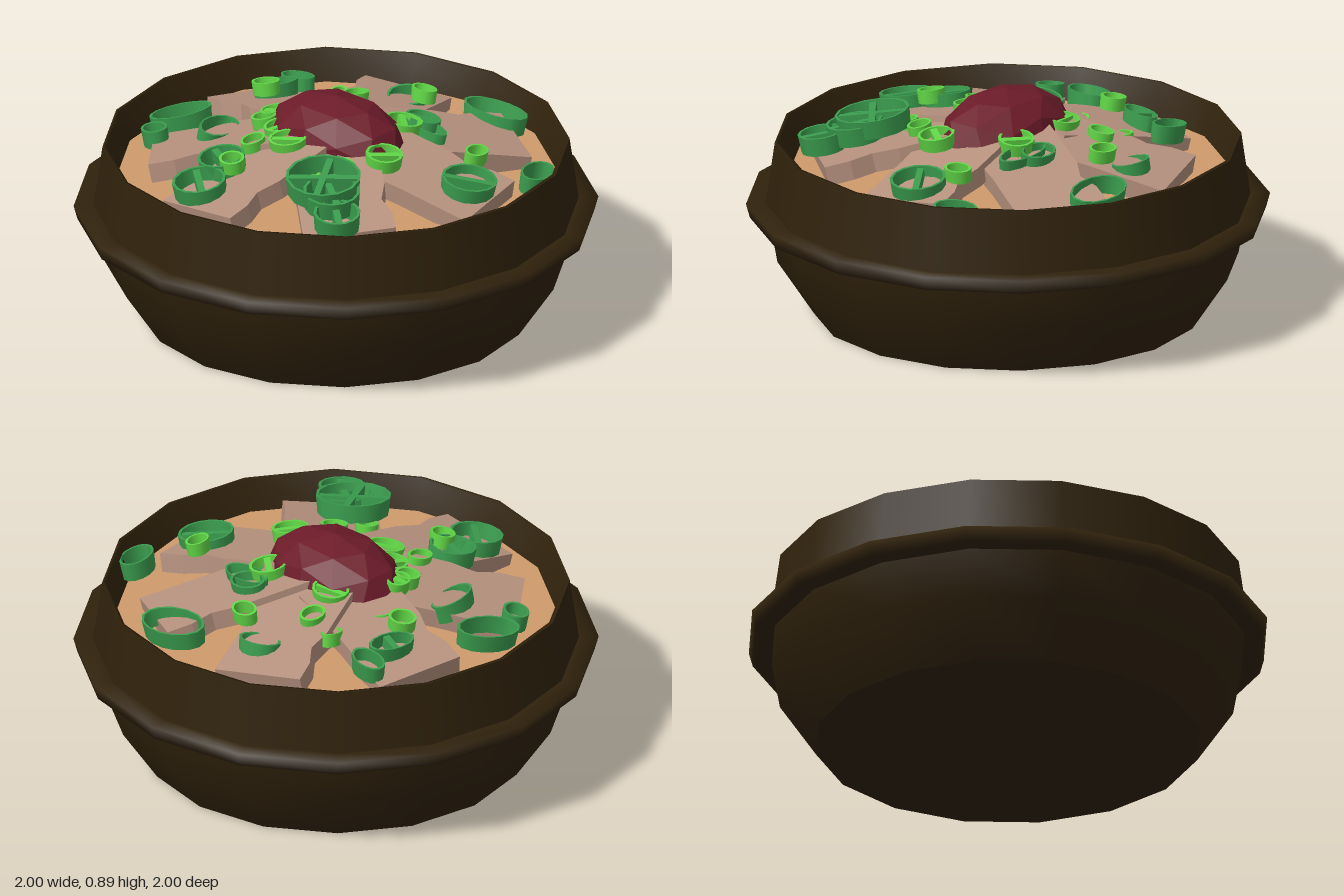
import * as THREE from 'three';
import { mergeGeometries } from 'three/addons/utils/BufferGeometryUtils.js';

const mat = (name, color, extra = {}) => {
  const m = new THREE.MeshStandardMaterial({ color, ...extra });
  m.name = name;
  return m;
};

// Lathe built from sections: smooth inside a section, sharp between sections
function sectionLathe(sections, sides) {
  return mergeGeometries(sections.map((points) =>
    new THREE.LatheGeometry(points.map(([x, y]) => new THREE.Vector2(x, y)), sides)));
}

export function createModel() {
  const model = new THREE.Group();
  const clay = mat('dark clay', 0x30220c);
  const broth = mat('broth', 0xd09a6c);
  const meat = mat('meat', 0xb6917e, { flatShading: true });
  const paste = mat('red paste', 0x6c1b29, { flatShading: true });
  const lightGreen = mat('light green', 0x60d646);
  const darkGreen = mat('dark green', 0x3a9c4e);

  const add = (parent, name, geometry, material) => {
    const mesh = new THREE.Mesh(geometry, material);
    mesh.name = name;
    parent.add(mesh);
    return mesh;
  };

  // Bowl with a protruding band and an inner wall
  add(model, 'bowl', sectionLathe([
    [[0, 0], [0.74, 0]],
    [[0.74, 0], [0.88, 0.21], [0.912, 0.39]],
    [[0.912, 0.39], [0.985, 0.39], [1, 0.445], [0.925, 0.445]],
    [[0.925, 0.445], [0.89, 0.69]],
    [[0.89, 0.69], [0.875, 0.69], [0.828, 0.55]],
  ], 16), clay);

  // Soup surface
  const soup = add(model, 'soup', new THREE.CircleGeometry(0.835, 16), broth);
  soup.rotation.x = -Math.PI / 2;
  soup.position.y = 0.57;

  // Meat slices: one wavy slab, fanned around the middle and sloping outward
  const outline = [
    [-0.175, 0], [0.18, 0], [0.18, 0.1], [0.15, 0.19], [0.175, 0.29],
    [0.18, 0.6], [-0.175, 0.6], [-0.165, 0.3],
  ].map(([x, y]) => new THREE.Vector2(x, y));
  const slab = new THREE.ExtrudeGeometry(new THREE.Shape(outline), { depth: 0.075, bevelEnabled: false });
  slab.rotateX(-Math.PI / 2); // outer end at z = 0, inner end toward -z
  slab.translate(0, -0.075, 0);
  // outer edge x, z and outward direction x, z
  [
    [-0.06, 0.725, 0, 1], [0.525, 0.5, 0.77, 0.64], [0.715, -0.085, 0.98, -0.2],
    [0.38, -0.605, 0.45, -0.89], [-0.23, -0.665, -0.37, -0.93],
    [-0.66, -0.22, -0.97, -0.24], [-0.56, 0.43, -0.77, 0.64],
  ].forEach(([x, z, dx, dz], i) => {
    const slice = add(model, 'meatSlice' + (i + 1), slab, meat);
    slice.position.set(x, 0.633, z);
    slice.rotation.set(0.21, Math.atan2(dx, dz), 0.1, 'YXZ');
  });

  // Dollop of paste in the middle
  const dollop = add(model, 'pasteDollop', new THREE.IcosahedronGeometry(1, 1), paste);
  dollop.scale.set(0.3, 0.175, 0.21);
  dollop.position.set(0.01, 0.715, 0.005);

  // Vegetable ring: thin hollow ring, optionally with ribs across it
  function addRing(name, material, height, [x, y, z, rx, rz, yaw = 0, ribs = 0, slope = 0.16]) {
    const r = Math.max(rx, rz), t = 0.011, h = height / 2;
    const angle = Math.atan2(x, z);
    const ring = new THREE.Group();
    ring.name = name;
    const corners = [[r * 0.95, -h], [r, h], [r - t, h], [r * 0.95 - t, -h]];
    add(ring, 'wall', sectionLathe(corners.map((c, i) => [c, corners[(i + 1) % 4]]), 14), material);
    for (let i = 0; i < ribs; i++) {
      const rib = add(ring, 'rib', new THREE.BoxGeometry(2 * r - t * 2, height * 0.8, 0.026), material);
      rib.rotation.y = i * 1.4;
    }
    ring.scale.set(rx / r, 1, rz / r);
    ring.rotation.y = yaw - angle;
    // lean outward along the slope of the slices
    const lean = new THREE.Group();
    lean.name = name + 'Tilt';
    lean.position.set(x, y, z);
    lean.rotation.set(slope, angle, 0, 'YXZ');
    lean.add(ring);
    model.add(lean);
  }

  // x, y, z, radius x, radius z, yaw, ribs, slope
  [
    [0.225, 0.65, -0.65, 0.14, 0.088, 0.1], [0.71, 0.635, -0.355, 0.06, 0.09, 0.3],
    [0.215, 0.71, -0.26, 0.115, 0.05, -0.1], [0.17, 0.715, -0.3, 0.075, 0.06, 0],
    [0.61, 0.667, -0.08, 0.108, 0.108, 0.6, 1],
    [0.31, 0.75, 0.41, 0.145, 0.145, 0.7, 2], [0.38, 0.72, 0.44, 0.11, 0.11, -0.6, 1],
    [0.48, 0.685, 0.52, 0.09, 0.09, -0.7, 1], [-0.17, 0.7, 0.455, 0.092, 0.092, -0.5, 1],
    [-0.13, 0.67, 0.625, 0.104, 0.104, -0.7, 1], [-0.52, 0.66, -0.355, 0.08, 0.05, -0.1],
    [-0.51, 0.68, -0.22, 0.052, 0.095, -0.3, 1], [-0.65, 0.645, 0.16, 0.075, 0.125, -0.5],
    [-0.625, 0.64, 0.335, 0.058, 0.05, -0.4], [-0.42, 0.67, 0.21, 0.065, 0.105, 0.15, 0, -0.25],
    [-0.11, 0.65, -0.53, 0.085, 0.07, 0.2, 0, -0.2],
  ].forEach((p, i) => addRing('pepperRing' + (i + 1), darkGreen, 0.072, p));

  [
    [0.01, 0.735, -0.485, 0.058, 0.044, -0.2], [-0.13, 0.75, -0.16, 0.075, 0.065, 0.2, 1],
    [0.17, 0.75, -0.19, 0.07, 0.075, -0.7, 1], [0.32, 0.745, 0.08, 0.072, 0.072, 0.9, 1],
    [0.53, 0.725, -0.21, 0.042, 0.055, 0.2], [0.24, 0.73, 0.235, 0.055, 0.045, 0.3],
    [-0.16, 0.73, 0.29, 0.042, 0.055, 0], [-0.1, 0.73, 0.475, 0.055, 0.048, -0.4],
    [-0.47, 0.74, -0.12, 0.055, 0.05, 0.4], [-0.26, 0.75, 0.07, 0.045, 0.055, 0.2, 1],
    [-0.25, 0.745, 0.13, 0.05, 0.045, 0.8], [-0.14, 0.75, 0.15, 0.07, 0.065, 1.2, 1],
    [-0.04, 0.75, 0.225, 0.075, 0.065, 0.5, 1], [-0.18, 0.72, -0.31, 0.045, 0.055, 0],
    [0.18, 0.71, 0.35, 0.045, 0.045, 0], [-0.32, 0.68, -0.085, 0.05, 0.04, 0.7, 0, -0.2],
    [-0.29, 0.68, -0.32, 0.035, 0.055, 0.2, 0, -0.2],
  ].forEach((p, i) => addRing('onionRing' + (i + 1), lightGreen, 0.052, p));

  return model;
}
